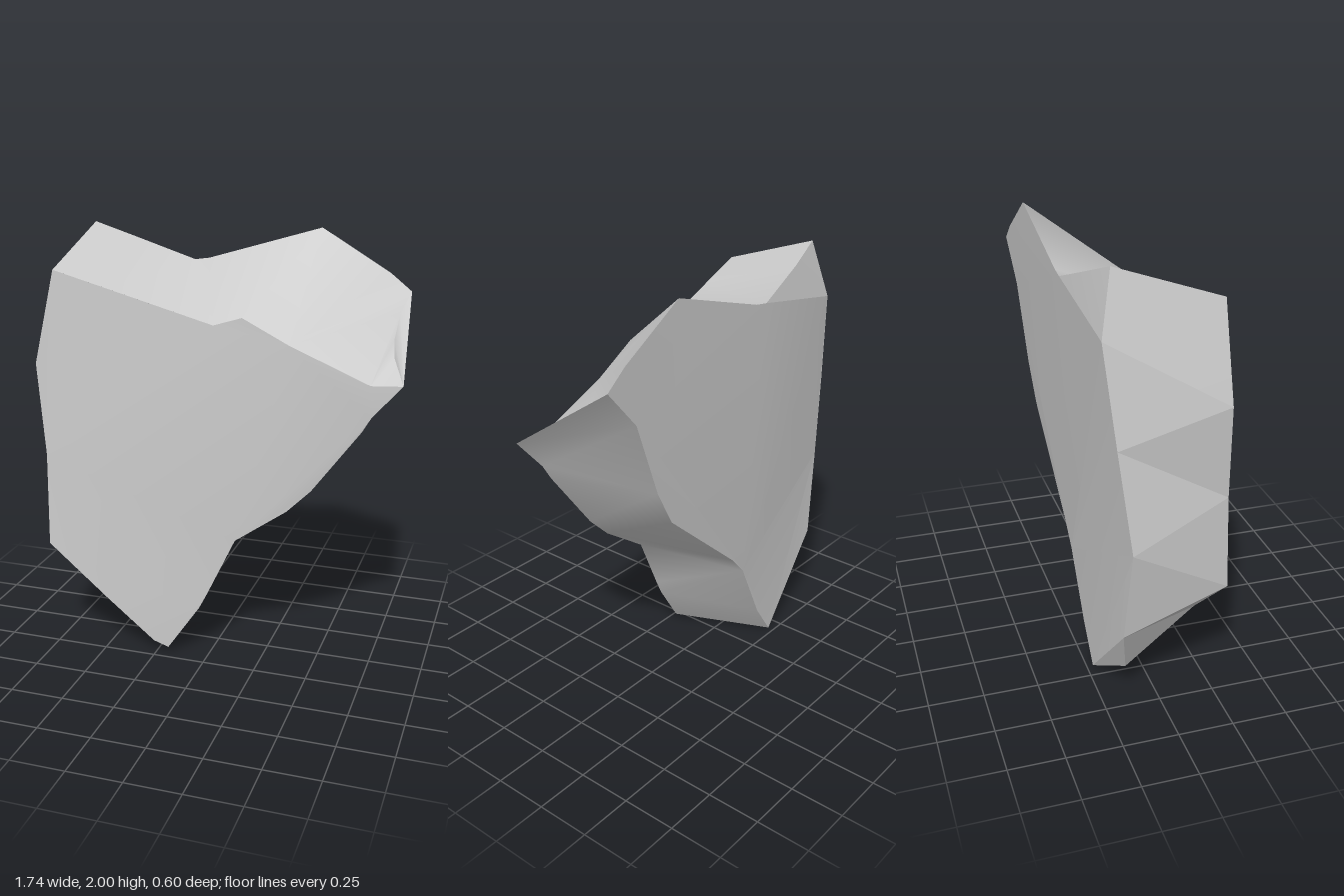
import * as THREE from 'three';
import { toCreasedNormals } from 'three/addons/utils/BufferGeometryUtils.js';

const material = new THREE.MeshStandardMaterial({ color: 0xcccccc });

// Edge chains run anticlockwise as seen from the front: up the right, back over the top, down the left.
const tip = [0.87, 1.41, 0.17];
const tipRidge = [[0.82, 1.73, -0.3], [0.79, 1.65, -0.18], [0.785, 1.55, -0.07], [0.8, 1.49, 0]];

const frontRight = [
  [-0.19, 0.03, 0.21], [-0.04, 0.25, 0.185], [0, 0.33, 0.18], [0.13, 0.61, 0.165], [0.37, 0.78, 0.157],
  [0.48, 0.89, 0.155], [0.7, 1.19, 0.16], [0.74, 1.26, 0.165], tip,
];
const frontTop = [
  tip, [0.73, 1.4, 0.165], [0.37, 1.55, 0.165], [0.16, 1.66, 0.175], [0.03, 1.62, 0.18],
  [-0.46, 1.77, 0.235], [-0.69, 1.84, 0.26],
];
const frontLeft = [
  [-0.69, 1.84, 0.26], [-0.79, 1.41, 0.27], [-0.75, 0.98, 0.285], [-0.75, 0.54, 0.3],
  [-0.48, 0.27, 0.255], [-0.26, 0.06, 0.22], [-0.19, 0.03, 0.21],
];
const backRight = [
  [-0.43, 0, -0.22], [-0.31, 0.17, -0.228], [-0.155, 0.485, -0.243], [-0.06, 0.59, -0.247],
  [0.41, 1, -0.265], [0.51, 1.18, -0.275], [0.65, 1.54, -0.29], [0.82, 1.73, -0.3],
];
const backTop = [
  [0.82, 1.73, -0.3], [0.72, 1.81, -0.3], [0.4, 2, -0.3], [-0.14, 1.84, -0.29],
  [-0.21, 1.83, -0.29], [-0.49, 1.93, -0.25], [-0.68, 2, -0.21],
];
const backLeft = [
  [-0.68, 2, -0.21], [-0.75, 1.73, -0.265], [-0.81, 1.29, -0.22], [-0.87, 0.84, -0.17], [-0.81, 0.41, -0.19],
];
const chip = [-0.68, 0.16, -0.14];
const backFoot = backRight[0];

function addMesh(group, name, triangles, crease) {
  let geometry = new THREE.BufferGeometry();
  geometry.setAttribute('position', new THREE.Float32BufferAttribute(triangles.flat(2), 3));
  geometry = toCreasedNormals(geometry, crease);
  const mesh = new THREE.Mesh(geometry, material);
  mesh.name = name;
  group.add(mesh);
}

// Join two chains with triangles, always taking the shorter diagonal
function strip(front, back) {
  const dist = (a, b) => Math.hypot(a[0] - b[0], a[1] - b[1], a[2] - b[2]);
  const triangles = [];
  let i = 0, j = 0;
  while (i < front.length - 1 || j < back.length - 1) {
    const f = front[i], b = back[j], nf = front[i + 1], nb = back[j + 1];
    if (nf && (!nb || dist(nf, b) * 0.95 < dist(nb, f))) {
      triangles.push([f, b, nf]);
      i++;
    } else {
      triangles.push([f, b, nb]);
      j++;
    }
  }
  return triangles;
}

// Fill a closed loop of points
function cap(loop, flip) {
  const contour = loop.map(([x, y]) => new THREE.Vector2(x, y));
  return THREE.ShapeUtils.triangulateShape(contour, []).map(([a, b, c]) =>
    flip ? [loop[a], loop[c], loop[b]] : [loop[a], loop[b], loop[c]]);
}

export function createModel() {
  const group = new THREE.Group();
  group.name = 'brokenShard';

  // Broad faces
  const joinChains = (...chains) => chains.flatMap((chain) => chain.slice(0, -1));
  addMesh(group, 'frontFace', cap(joinChains(frontRight, frontTop, frontLeft), false), 0.5);
  addMesh(group, 'backFace', cap([...joinChains(backRight, backTop), ...backLeft], true), 0.15);

  // Smooth broken edges, meeting along the ridge at the tip
  addMesh(group, 'rightEdge', strip(frontRight, [...backRight, ...tipRidge.slice(1)]), 0.8);
  addMesh(group, 'topEdge', strip(frontTop, [...tipRidge.slice(1).reverse(), ...backTop]), 0.8);

  // Faceted left edge with a chipped lower corner
  const leftEdge = strip(frontLeft, [...backLeft, chip, backFoot]);
  leftEdge.push([backLeft[4], backFoot, chip]);
  addMesh(group, 'leftEdge', leftEdge, 0.05);

  return group;
}
